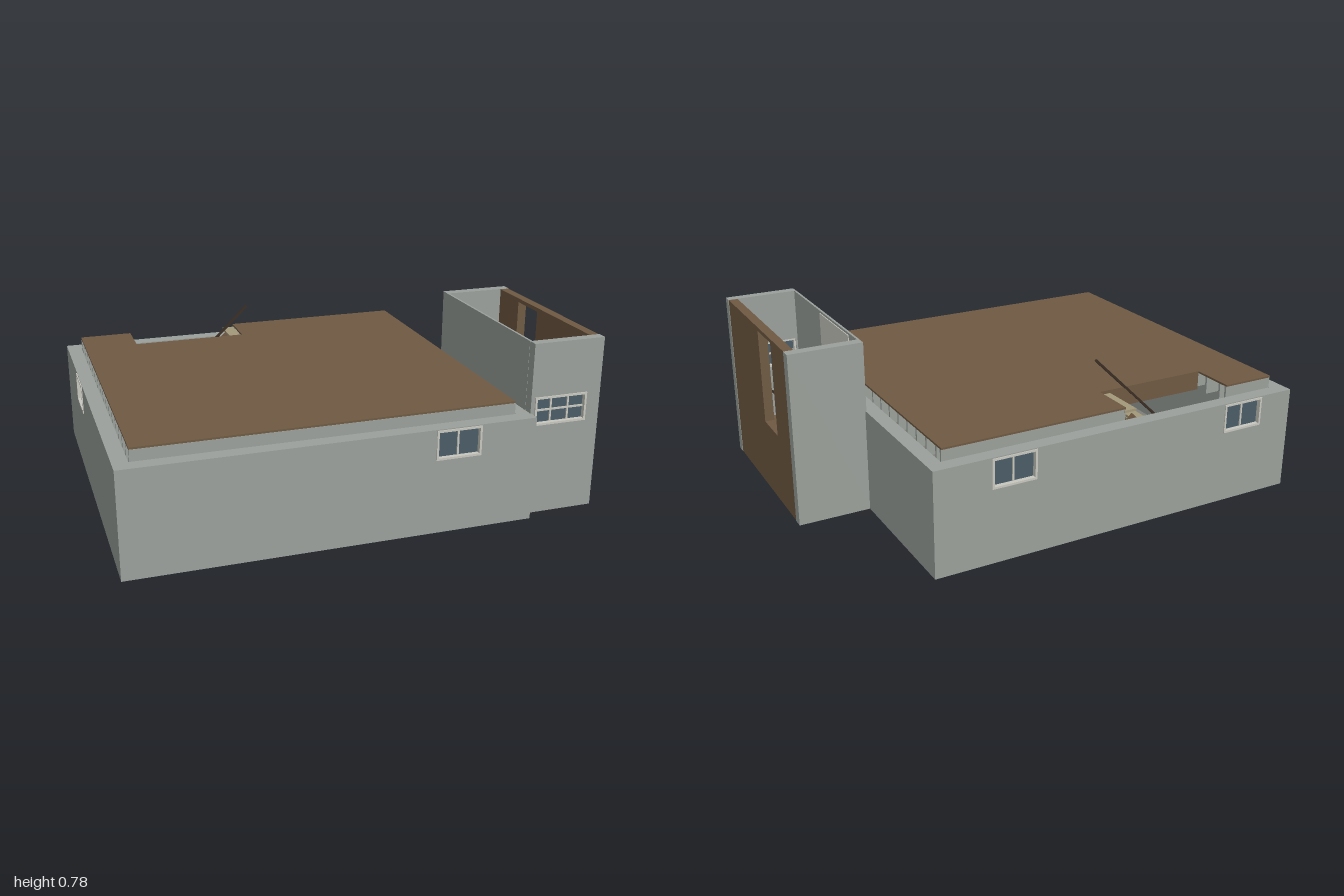
import * as THREE from 'three';

const mat = (color, side = THREE.FrontSide) => new THREE.MeshStandardMaterial({ color, side });

export function createModel() {
  const root = new THREE.Group();
  const wallMat = mat(0x9aa09b), wood = mat(0x6f5a42), tan = mat(0xa3987a), slabMat = mat(0x80807a);
  const glass = mat(0x4a5c66), pale = mat(0xc8c8c0), dark = mat(0x3a2e24);

  const add = (name, geo, material, parent = root) => {
    const m = new THREE.Mesh(geo, material);
    m.name = name;
    parent.add(m);
    return m;
  };
  // Box given by its lower and upper limits
  const box = (name, x0, x1, y0, y1, z0, z1, material, parent) => {
    const m = add(name, new THREE.BoxGeometry(x1 - x0, y1 - y0, z1 - z0), material, parent);
    m.position.set((x0 + x1) / 2, (y0 + y1) / 2, (z0 + z1) / 2);
    return m;
  };

  const outline = (u0, u1, v0, v1, Kind = THREE.Shape) => new Kind([
    new THREE.Vector2(u0, v0), new THREE.Vector2(u1, v0),
    new THREE.Vector2(u1, v1), new THREE.Vector2(u0, v1)]);

  // Wall panel with rectangular openings; along x, or along z when alongZ is set.
  // "at" is the lower z face for x walls and the upper x face for z walls.
  const wall = (name, u0, u1, y0, y1, at, t, material, holes = [], alongZ = false) => {
    const s = outline(u0, u1, y0, y1);
    for (const h of holes) s.holes.push(outline(...h, THREE.Path));
    const g = new THREE.ExtrudeGeometry(s, { depth: t, bevelEnabled: false });
    if (alongZ) g.rotateY(-Math.PI / 2).translate(at, 0, 0);
    else g.translate(0, 0, at);
    return add(name, g, material);
  };

  // Framed window with glazing bars, built around its centre
  const windowUnit = (x, y, z, w, h, cols, rows, depth, turn = 0) => {
    const g = new THREE.Group();
    g.name = 'window';
    const f = 0.009;
    box('windowGlass', -w / 2, w / 2, -h / 2, h / 2, -0.003, 0.003, glass, g);
    for (const s of [-1, 1]) {
      const a = s * (w / 2 - f / 2), b = s * (h / 2 - f / 2);
      box('frameSide', a - f / 2, a + f / 2, -h / 2, h / 2, -depth / 2, depth / 2, pale, g);
      box('frameRail', -w / 2, w / 2, b - f / 2, b + f / 2, -depth / 2, depth / 2, pale, g);
    }
    for (let i = 1; i < cols; i++) {
      const a = -w / 2 + w * i / cols;
      box('glazingBar', a - 0.004, a + 0.004, -h / 2, h / 2, -0.008, 0.008, pale, g);
    }
    for (let i = 1; i < rows; i++) {
      const b = -h / 2 + h * i / rows;
      box('glazingBar', -w / 2, w / 2, b - 0.004, b + 0.004, -0.008, 0.008, pale, g);
    }
    g.position.set(x, y, z);
    g.rotation.y = turn;
    root.add(g);
  };

  // Square-ended sloping board whose lower corner sits at (x, y)
  const slopedBoard = (name, x, y, len, width, angle, z, t, material) => {
    const m = add(name, new THREE.BoxGeometry(len, width, t).translate(len / 2, width / 2, 0), material);
    m.position.set(x, y, z);
    m.rotation.z = angle;
  };

  // Straight open stair rising towards +x
  const stair = (name, x0, x1, y0, y1, z0, z1, steps, treadMat) => {
    const run = (x1 - x0) / steps, rise = (y1 - y0) / steps;
    const angle = Math.atan2(y1 - y0, x1 - x0);
    for (const z of [z0 + 0.005, z1 - 0.005])
      slopedBoard(name + 'Stringer', x0 + 0.015, 0.002, Math.hypot(x1 - x0, y1 - y0) - 0.03, 0.04, angle, z, 0.01, wood);
    for (let i = 0; i < steps; i++) {
      const x = x0 + i * run, y = y0 + (i + 1) * rise;
      box(name + 'Tread', x, x + run + 0.004, y - 0.01, y, z0, z1, treadMat);
    }
  };

  // Main block walls with windows
  const Y0 = 0.037, Y1 = 0.485, T = 0.062;
  const hole = c => [c - 0.097, c + 0.097, 0.355, 0.48];
  wall('frontWall', -1, 0.69, Y0, Y1, 0.778 - T, T, wallMat, [hole(0.352)]);
  wall('backWall', -1, 0.69, Y0, Y1, -0.78, T, wallMat, [hole(0.35), hole(-0.745)]);
  wall('rightWall', -0.78 + T, 0.778 - T, Y0, Y1, -1 + T, T, wallMat, [hole(-0.27)], true);
  wall('leftWall', -0.78 + T, 0.778 - T, Y0, Y1, 0.69, T, wallMat, [], true);
  windowUnit(0.352, 0.418, 0.76, 0.194, 0.126, 2, 1, 0.044);
  for (const x of [0.35, -0.745]) windowUnit(x, 0.418, -0.762, 0.194, 0.126, 2, 1, 0.044);
  windowUnit(-0.982, 0.418, -0.27, 0.194, 0.126, 2, 1, 0.044, Math.PI / 2);
  box('floorSlab', -0.935, 0.625, 0.02, 0.04, -0.716, 0.714, slabMat);

  // Deck with a notch for the stair
  const deckPts = [[-0.935, -0.712], [0.625, -0.712], [0.625, 0.718], [-0.19, 0.718],
    [-0.19, 0.53], [-0.7, 0.53], [-0.7, 0.718], [-0.935, 0.718]];
  const deckShape = new THREE.Shape(deckPts.map(p => new THREE.Vector2(...p)));
  const deckGeo = new THREE.ExtrudeGeometry(deckShape, { depth: 0.008, bevelEnabled: false });
  add('deck', deckGeo.rotateX(-Math.PI / 2).translate(0, 0.531, 0), wood);

  // Joists run along x, closed by rim boards at front and back
  const J0 = 0.455, J1 = 0.531;
  box('frontRim', -0.935, 0.625, J0, J1, 0.704, 0.714, wallMat);
  box('backRim', -0.935, -0.7, J0, J1, -0.716, -0.706, wallMat);
  box('backRim', -0.19, 0.625, J0, J1, -0.716, -0.706, wallMat);
  for (let i = 0; i < 16; i++) {
    const z = -0.672 + i * 0.0875;
    const parts = z < -0.53 ? [[-0.935, -0.7], [-0.19, 0.625]] : [[-0.935, 0.625]];
    for (const [a, b] of parts) box('joist', a, b, J0, J1, z - 0.005, z + 0.005, wallMat);
  }
  box('stairTrimmer', -0.7, -0.19, J0, J1, -0.53, -0.52, wood);
  box('joistBlocking', -0.15, -0.14, J0, J1, -0.706, 0.704, wood);

  // Main stair and its handrail
  stair('mainStair', -0.7, -0.19, 0.03, 0.525, -0.718, -0.515, 10, tan);
  slopedBoard('mainHandrail', -0.66, 0.2, 0.69, 0.01, Math.atan2(0.48, 0.5), -0.528, 0.01, dark);

  // Side tower: two end walls, thin inner wall, timber wall with a doorway
  const top = 0.78;
  wall('towerFrontWall', 0.685, 1, Y0, top, 0.69, 0.042, wallMat, [[0.703, 0.938, 0.43, 0.552]]);
  wall('towerBackWall', 0.685, 1, Y0, top, -0.137, 0.045, wallMat);
  windowUnit(0.8205, 0.491, 0.715, 0.235, 0.122, 3, 2, 0.044);
  wall('towerInnerWall', -0.092, 0.69, Y0, top, 0.694, 0.01, wallMat, [], true);
  box('innerWallPanel', 0.694, 0.698, 0.04, 0.77, 0.0, 0.34, pale);
  wall('towerTimberWall', -0.092, 0.69, Y0, top - 0.001, 0.998, 0.04, wood, [[0.085, 0.257, 0.352, 0.762]], true);

  // Tower floor, open under the stair
  box('towerFloor', 0.69, 0.955, 0.02, 0.038, 0.31, 0.7, slabMat);
  box('towerFloor', 0.69, 0.955, 0.02, 0.038, -0.1, 0.03, slabMat);
  stair('towerStair', 0.672, 0.96, 0.03, 0.35, 0.033, 0.312, 6, wood);
  slopedBoard('towerHandrail', 0.785, 0.3, 0.23, 0.01, Math.PI / 4, 0.305, 0.01, dark);

  // Slim glazed panels on the inside of the timber wall
  for (const [a, b] of [[-0.088, 0.025], [0.32, 0.435], [0.5, 0.605]])
    box('innerGlazing', 0.948, 0.959, 0.43, 0.552, a, b, glass);

  return root;
}
